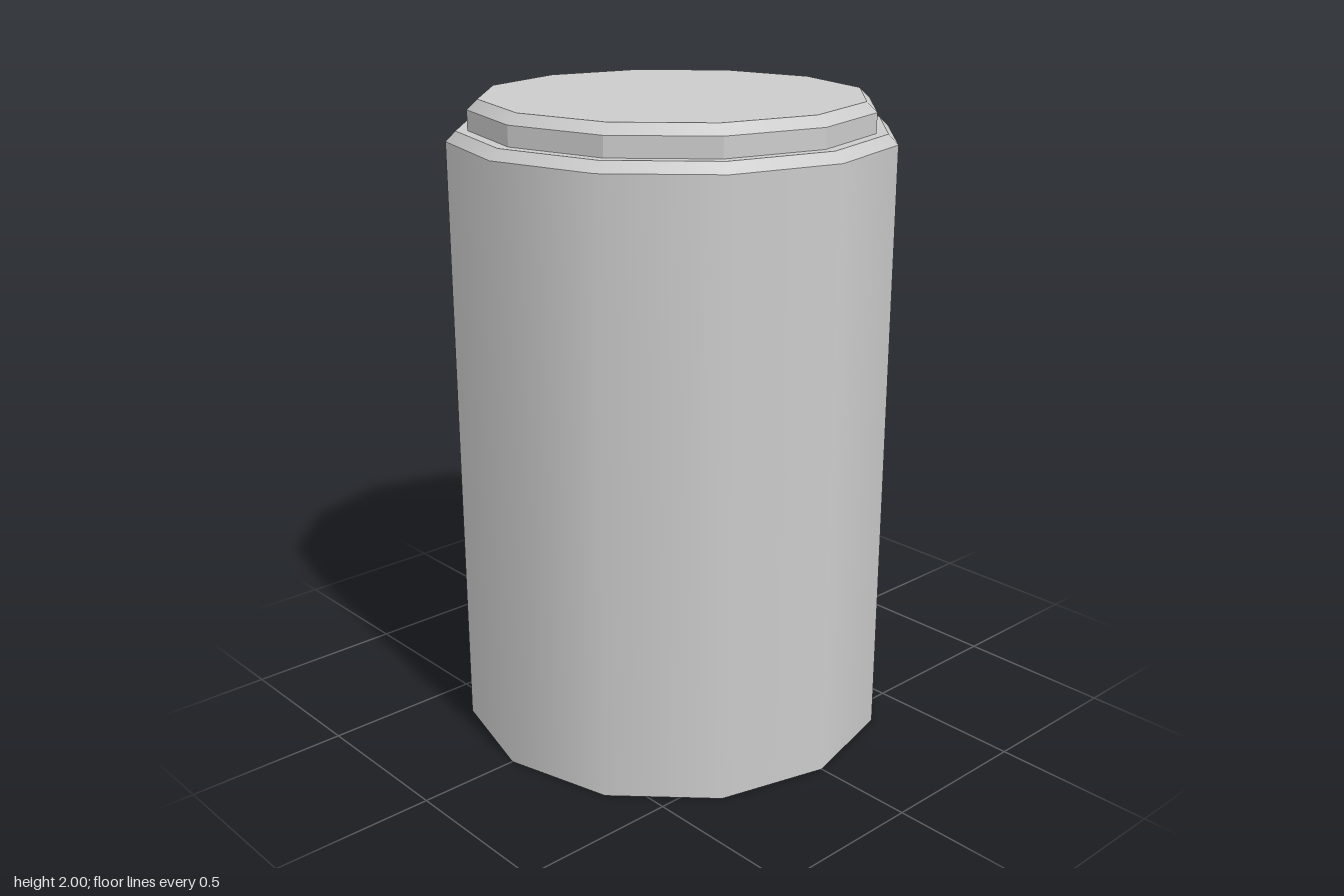
import * as THREE from 'three';

const SIDES = 12;

export function createModel() {
  const model = new THREE.Group();
  model.name = 'canister';
  const smooth = new THREE.MeshStandardMaterial({ color: 0xcccccc });
  const faceted = new THREE.MeshStandardMaterial({ color: 0xcccccc, flatShading: true });

  const add = (name, geometry, material = smooth) => {
    const mesh = new THREE.Mesh(geometry, material);
    mesh.name = name;
    model.add(mesh);
  };

  // Open band of twelve sides between two heights
  const band = (name, y0, y1, r0, r1, material) =>
    add(name, new THREE.CylinderGeometry(r1, r0, y1 - y0, SIDES, 1, true)
      .translate(0, (y0 + y1) / 2, 0), material);

  // Side wall, shoulder and stepped lid
  band('body', 0, 1.88, 0.68, 0.68);
  band('shoulderBevel', 1.88, 1.91, 0.68, 0.65);
  band('lidSide', 1.91, 1.97, 0.615, 0.615, faceted);
  band('lidBevel', 1.97, 2, 0.615, 0.583);

  // Flat faces: base, ledge around the lid, and lid top
  add('base', new THREE.CircleGeometry(0.68, SIDES).rotateX(Math.PI / 2));
  add('ledge', new THREE.RingGeometry(0.615, 0.65, SIDES).rotateX(-Math.PI / 2).translate(0, 1.91, 0));
  add('lidTop', new THREE.CircleGeometry(0.583, SIDES).rotateX(-Math.PI / 2).translate(0, 2, 0));

  return model;
}
